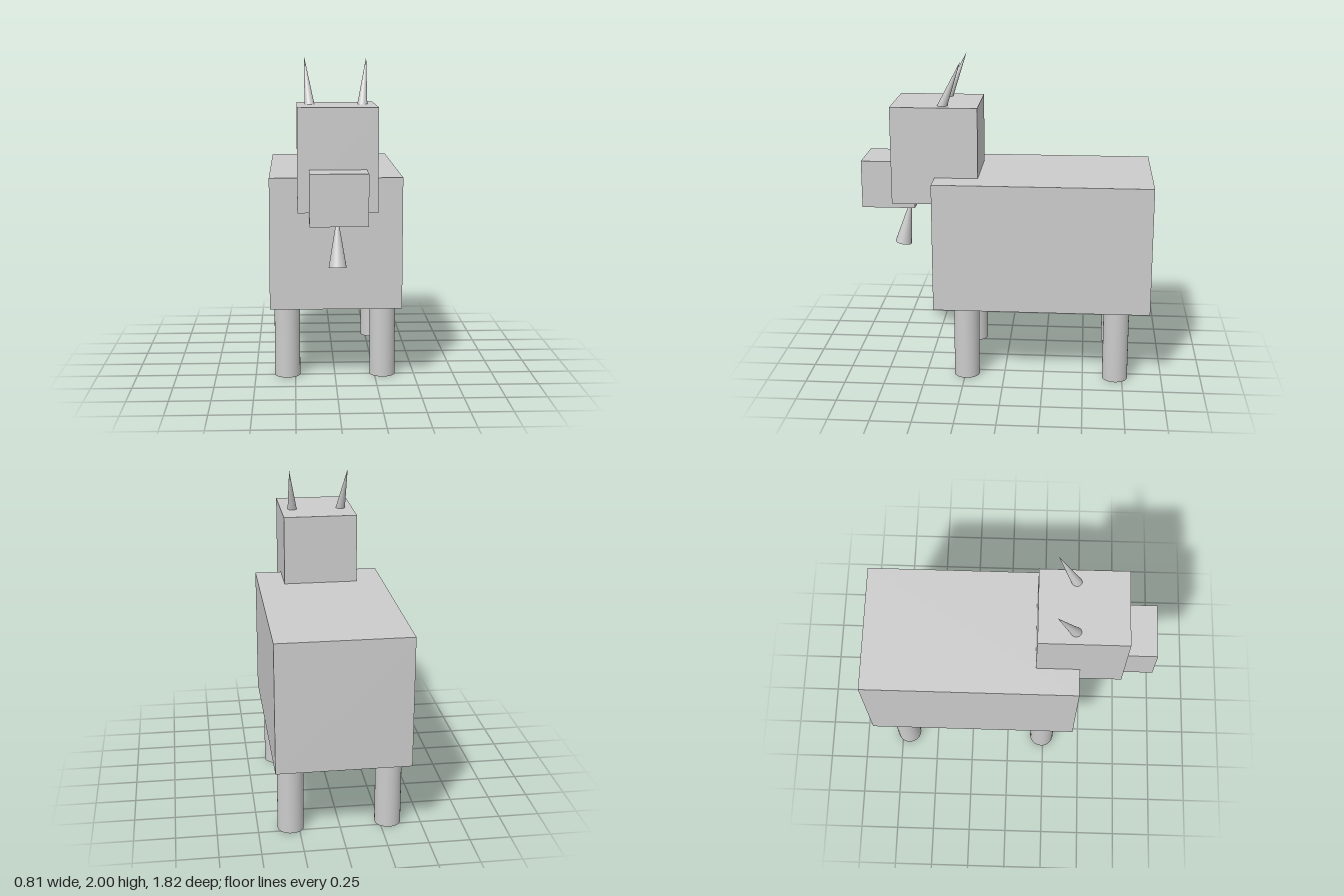
import * as THREE from 'three';

const material = new THREE.MeshStandardMaterial({ color: 0xcccccc });

function addMesh(group, name, geometry, x, y, z) {
  const mesh = new THREE.Mesh(geometry, material);
  mesh.name = name;
  mesh.position.set(x, y, z);
  group.add(mesh);
  return mesh;
}

// Cone running from the centre of its base to its tip
function addCone(group, name, radius, base, tip) {
  const axis = tip.clone().sub(base);
  const mid = base.clone().add(tip).multiplyScalar(0.5);
  const cone = addMesh(group, name, new THREE.ConeGeometry(radius, axis.length(), 32), mid.x, mid.y, mid.z);
  cone.quaternion.setFromUnitVectors(new THREE.Vector3(0, 1, 0), axis.normalize());
}

export function createModel() {
  const goat = new THREE.Group();
  goat.name = 'goat';

  // Blocky body, head and muzzle
  addMesh(goat, 'body', new THREE.BoxGeometry(0.81, 0.81, 1.35), 0, 0.875, -0.235);
  addMesh(goat, 'head', new THREE.BoxGeometry(0.47, 0.61, 0.54), 0, 1.415, 0.44);
  addMesh(goat, 'muzzle', new THREE.BoxGeometry(0.335, 0.3, 0.335), 0, 1.212, 0.743);

  // Four round legs
  const legGeometry = new THREE.CylinderGeometry(0.08, 0.08, 0.48, 32);
  for (const side of [-1, 1]) {
    const sideName = side > 0 ? 'Left' : 'Right';
    addMesh(goat, 'front' + sideName + 'Leg', legGeometry, side * 0.3, 0.24, 0.24);
    addMesh(goat, 'back' + sideName + 'Leg', legGeometry, side * 0.3, 0.24, -0.705);

    // Horns lean back and slightly outwards
    addCone(goat, 'horn' + sideName, 0.032,
      new THREE.Vector3(side * 0.157, 1.7, 0.4), new THREE.Vector3(side * 0.188, 2, 0.275));
  }

  // Beard hangs under the chin, wide end down
  addCone(goat, 'beard', 0.053, new THREE.Vector3(0, 0.78, 0.682), new THREE.Vector3(0, 1.09, 0.621));

  return goat;
}
